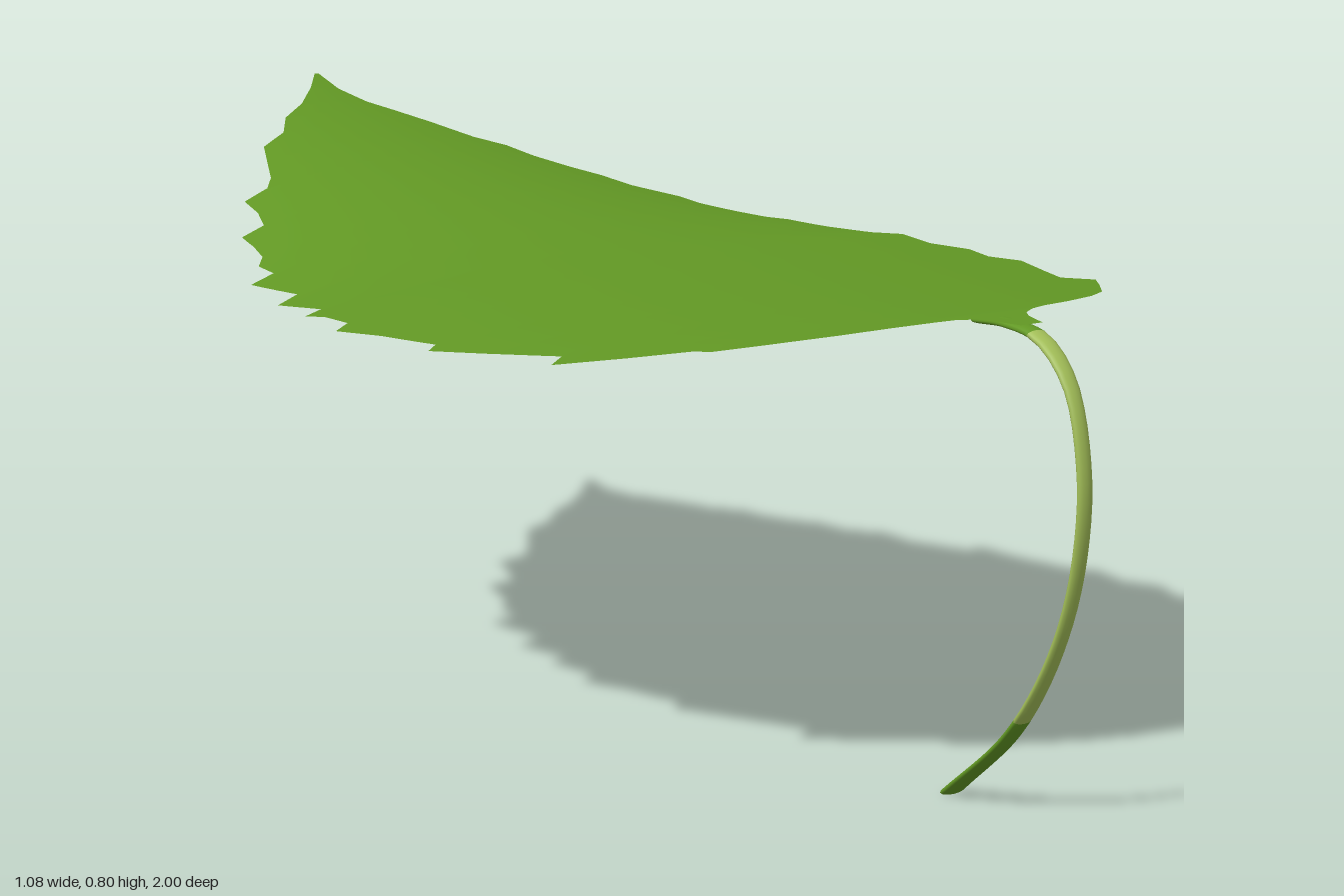
import * as THREE from 'three';

// Serrated edges as x, z pairs running from the tip to the stem
const LEFT_EDGE = [
  .09, -1, .045, -.94, -.01, -.88, -.065, -.84, -.1, -.79, -.155, -.76, -.18, -.71, -.21, -.65,
  -.235, -.62, -.285, -.605, -.295, -.55, -.315, -.5, -.36, -.49, -.37, -.44, -.385, -.39,
  -.41, -.36, -.415, -.31, -.46, -.3, -.455, -.18, -.5, -.16, -.49, -.06, -.525, -.045,
  -.515, .05, -.547, .07, -.52, .145, -.5, .25, -.525, .27, -.485, .37, -.447, .475,
  -.485, .505, -.415, .58, -.35, .64, -.345, .67, -.28, .715, -.2, .76, -.13, .785,
  -.035, .8, -.012, .815, -.003, .835, .008, .88,
];
const RIGHT_EDGE = [
  .097, -1, .092, -.93, .108, -.87, .135, -.83, .17, -.775, .205, -.705, .245, -.67, .26, -.615,
  .293, -.56, .325, -.52, .34, -.457, .39, -.4, .388, -.34, .415, -.277, .436, -.235,
  .473, -.225, .478, -.13, .494, -.04, .52, 0, .51, .08, .537, .14, .515, .21, .537, .26,
  .49, .36, .44, .46, .468, .505, .405, .585, .33, .675, .267, .725, .19, .765,
  .1, .795, .075, .812, .06, .835, .045, .88,
];

function edgeX(edge, z) {
  let i = 0;
  while (i < edge.length - 4 && edge[i + 3] < z) i += 2;
  const t = (z - edge[i + 1]) / (edge[i + 3] - edge[i + 1]);
  return THREE.MathUtils.lerp(edge[i], edge[i + 2], THREE.MathUtils.clamp(t, 0, 1));
}

// Height of the blade: cupped along its length, drooping to both sides
function bladeY(x, z) {
  const dx = x - .025;
  const droop = (dx < 0 ? .115 : .085) + .5 * Math.max(0, -z);
  return Math.min(.682, .645 + .108 * (z - .2) ** 2 + (z < -.9 ? .002 : 0)) * (z > 0 ? 1 : 0)
    + (z > 0 ? 0 : .645 + .108 * (z - .2) ** 2) - droop * dx * dx;
}

// Grid of quads with the given number of rows and columns
function gridGeometry(rows, cols, point) {
  const pos = [], index = [];
  for (let r = 0; r <= rows; r++) {
    for (let c = 0; c <= cols; c++) {
      pos.push(...point(r, c));
      if (r < rows && c < cols) {
        const a = r * (cols + 1) + c, b = a + cols + 1;
        index.push(a, b, a + 1, b, b + 1, a + 1);
      }
    }
  }
  const g = new THREE.BufferGeometry();
  g.setAttribute('position', new THREE.Float32BufferAttribute(pos, 3));
  g.setIndex(index);
  g.computeVertexNormals();
  return g;
}

function bladeGeometry() {
  const zs = [...new Set([...LEFT_EDGE, ...RIGHT_EDGE].filter((v, i) => i % 2 === 1))];
  zs.sort((a, b) => a - b);
  return gridGeometry(zs.length - 1, 20, (r, c) => {
    const z = zs[r];
    const x = THREE.MathUtils.lerp(edgeX(LEFT_EDGE, z), edgeX(RIGHT_EDGE, z), c / 20);
    return [x, bladeY(x, z), z];
  });
}

// Flattened stem swept along its curve, between two fractions of its length
const STEM_PATH = new THREE.CatmullRomCurve3([
  [.025, .674, .78], [.026, .676, .84], [.027, .663, .905], [.027, .61, .96], [.025, .5, .992],
  [.024, .4, .99], [.023, .3, .967], [.023, .2, .92], [.025, .11, .852], [.027, .006, .73],
].map((p) => new THREE.Vector3(...p)));

function stemGeometry(from, to) {
  const rows = 24, sides = 12;
  return gridGeometry(rows, sides, (r, c) => {
    const t = from + (to - from) * r / rows;
    const p = STEM_PATH.getPointAt(t), d = STEM_PATH.getTangentAt(t);
    const across = .0125 + .007 * Math.max(0, 1 - t / .25) + .009 * Math.max(0, (t - .6) / .4) ** 1.3;
    const a = -c / sides * Math.PI * 2;
    const out = Math.sin(a) * .006;
    return [p.x + Math.cos(a) * across, Math.max(0, p.y + d.z * out), p.z - d.y * out];
  });
}

export function createModel() {
  const leafGreen = new THREE.MeshStandardMaterial({ color: 0x629824, side: THREE.DoubleSide });
  leafGreen.name = 'leaf green';
  const paleGreen = new THREE.MeshStandardMaterial({ color: 0xa3bf58, side: THREE.DoubleSide });
  paleGreen.name = 'pale stem green';

  const leaf = new THREE.Group();
  leaf.name = 'leaf';
  const add = (name, geometry, material) => {
    const mesh = new THREE.Mesh(geometry, material);
    mesh.name = name;
    leaf.add(mesh);
  };
  add('blade', bladeGeometry(), leafGreen);
  add('stemTop', stemGeometry(0, .12), leafGreen);
  add('stemMiddle', stemGeometry(.12, .78), paleGreen);
  add('stemFoot', stemGeometry(.78, 1), leafGreen);
  return leaf;
}
